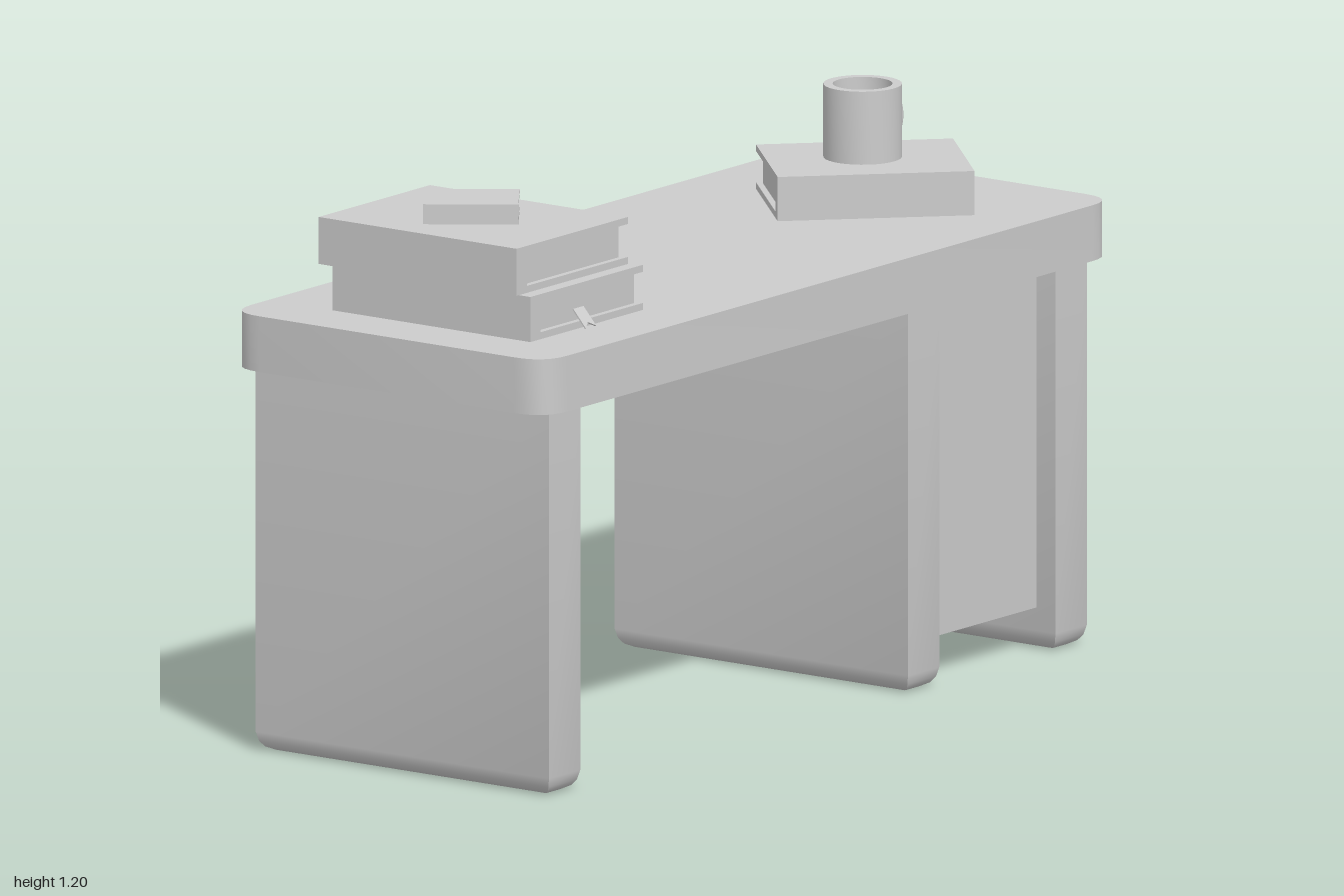
import * as THREE from 'three';
import { toCreasedNormals } from 'three/addons/utils/BufferGeometryUtils.js';

const material = new THREE.MeshStandardMaterial({ color: 0xcccccc });
const thinMaterial = new THREE.MeshStandardMaterial({ color: 0xcccccc, side: THREE.DoubleSide });

function part(parent, name, geometry, x = 0, y = 0, z = 0, mat = material) {
  const mesh = new THREE.Mesh(geometry, mat);
  mesh.name = name;
  mesh.position.set(x, y, z);
  parent.add(mesh);
  return mesh;
}

// Flat slab with rounded corners in plan, base at y = 0
function roundedSlab(w, d, h, r) {
  const x = w / 2, z = d / 2;
  const s = new THREE.Shape();
  s.moveTo(-x + r, -z);
  s.lineTo(x - r, -z).quadraticCurveTo(x, -z, x, -z + r);
  s.lineTo(x, z - r).quadraticCurveTo(x, z, x - r, z);
  s.lineTo(-x + r, z).quadraticCurveTo(-x, z, -x, z - r);
  s.lineTo(-x, -z + r).quadraticCurveTo(-x, -z, -x + r, -z);
  const g = new THREE.ExtrudeGeometry(s, { depth: h, bevelEnabled: false, curveSegments: 6 });
  return toCreasedNormals(g.rotateX(-Math.PI / 2), 0.6);
}

// Upright panel whose foot is softened on all four sides
function legPanel(w, h, d) {
  const g = new THREE.BoxGeometry(w, h, d, 1, 4, 1).translate(0, h / 2, 0);
  const levels = [[0, 0.03], [0.008, 0.014], [0.02, 0.005], [0.04, 0], [h, 0]];
  const p = g.attributes.position;
  for (let i = 0; i < p.count; i++) {
    const [y, inset] = levels[Math.round((p.getY(i) / h) * 4)];
    p.setXYZ(i, Math.sign(p.getX(i)) * (w / 2 - inset), y, Math.sign(p.getZ(i)) * (d / 2 - inset));
  }
  return toCreasedNormals(g, 0.6);
}

// Book: C-shaped cover with the spine on local -x, and inset pages
function book(name, w, h, d, cover, spine, inset) {
  const group = new THREE.Group();
  group.name = name;
  const x = w / 2;
  const s = new THREE.Shape([
    [-x, 0], [x, 0], [x, cover], [-x + spine, cover],
    [-x + spine, h - cover], [x, h - cover], [x, h], [-x, h],
  ].map(([a, b]) => new THREE.Vector2(a, b)));
  const g = new THREE.ExtrudeGeometry(s, { depth: d, bevelEnabled: false });
  part(group, 'cover', g.translate(0, 0, -d / 2));
  part(group, 'pages', new THREE.BoxGeometry(w - spine - inset, h - 2 * cover, d - 2 * inset),
    (spine - inset) / 2, h / 2, 0);
  return group;
}

export function createModel() {
  const model = new THREE.Group();
  model.name = 'desk';

  // Desk
  part(model, 'desktop', roundedSlab(2, 0.83, 0.12, 0.08), 0, 0.83, 0);
  for (const [name, x] of [['rightLeg', -0.89], ['innerLeg', 0.368], ['leftLeg', 0.885]]) {
    part(model, name, legPanel(0.11, 0.83, 0.77), x);
  }
  part(model, 'cabinet', new THREE.BoxGeometry(0.41, 0.74, 0.67), 0.625, 0.46, 0);

  // Books: name, width, height, depth, cover, spine, page inset, position, turn
  const books = [
    ['lowerBook', 0.395, 0.097, 0.52, 0.015, 0.036, 0.014, -0.663, 0.95, 0.013, 0],
    ['upperBook', 0.39, 0.101, 0.52, 0.015, 0.036, 0.014, -0.68, 1.049, -0.012, 0],
    ['notebook', 0.153, 0.043, 0.2, 0.007, 0.014, 0.006, -0.68, 1.15, -0.017, 0.62],
    ['mugBook', 0.322, 0.095, 0.418, 0.014, 0.034, 0.013, 0.66, 0.95, 0.013, 0.785],
  ];
  for (const [name, w, h, d, cover, spine, inset, x, y, z, turn] of books) {
    const b = book(name, w, h, d, cover, spine, inset);
    b.position.set(x, y, z);
    b.rotation.y = turn;
    model.add(b);
  }

  // Bookmark ribbon with a notched end, drooping out of the lower book
  const ribbon = new THREE.Shape([
    [-0.018, 0.05], [-0.018, 0], [0, 0.012], [0.018, 0], [0.018, 0.05],
  ].map(([a, b]) => new THREE.Vector2(a, b)));
  const ribbonGeometry = new THREE.ExtrudeGeometry(ribbon, { depth: 0.003, bevelEnabled: false });
  const bookmark = part(model, 'bookmark', ribbonGeometry, -0.69, 0.955, 0.302, thinMaterial);
  bookmark.rotation.x = -0.72;

  // Mug with drink and handle
  const mug = new THREE.Group();
  mug.name = 'mug';
  mug.position.set(0.668, 1.045, 0);
  model.add(mug);
  const profile = [[0, 0], [0.083, 0], [0.083, 0.157], [0.063, 0.157], [0.063, 0.13], [0, 0.13]]
    .map(([r, y]) => new THREE.Vector2(r, y));
  part(mug, 'cup', toCreasedNormals(new THREE.LatheGeometry(profile, 32), 0.6));
  const handlePath = new THREE.CatmullRomCurve3([
    [0.075, 0.113], [0.1, 0.111], [0.121, 0.095], [0.128, 0.068],
    [0.121, 0.041], [0.1, 0.025], [0.075, 0.023],
  ].map(([x, y]) => new THREE.Vector3(x, y, 0)));
  part(mug, 'handle', new THREE.TubeGeometry(handlePath, 24, 0.009, 10));

  return model;
}
